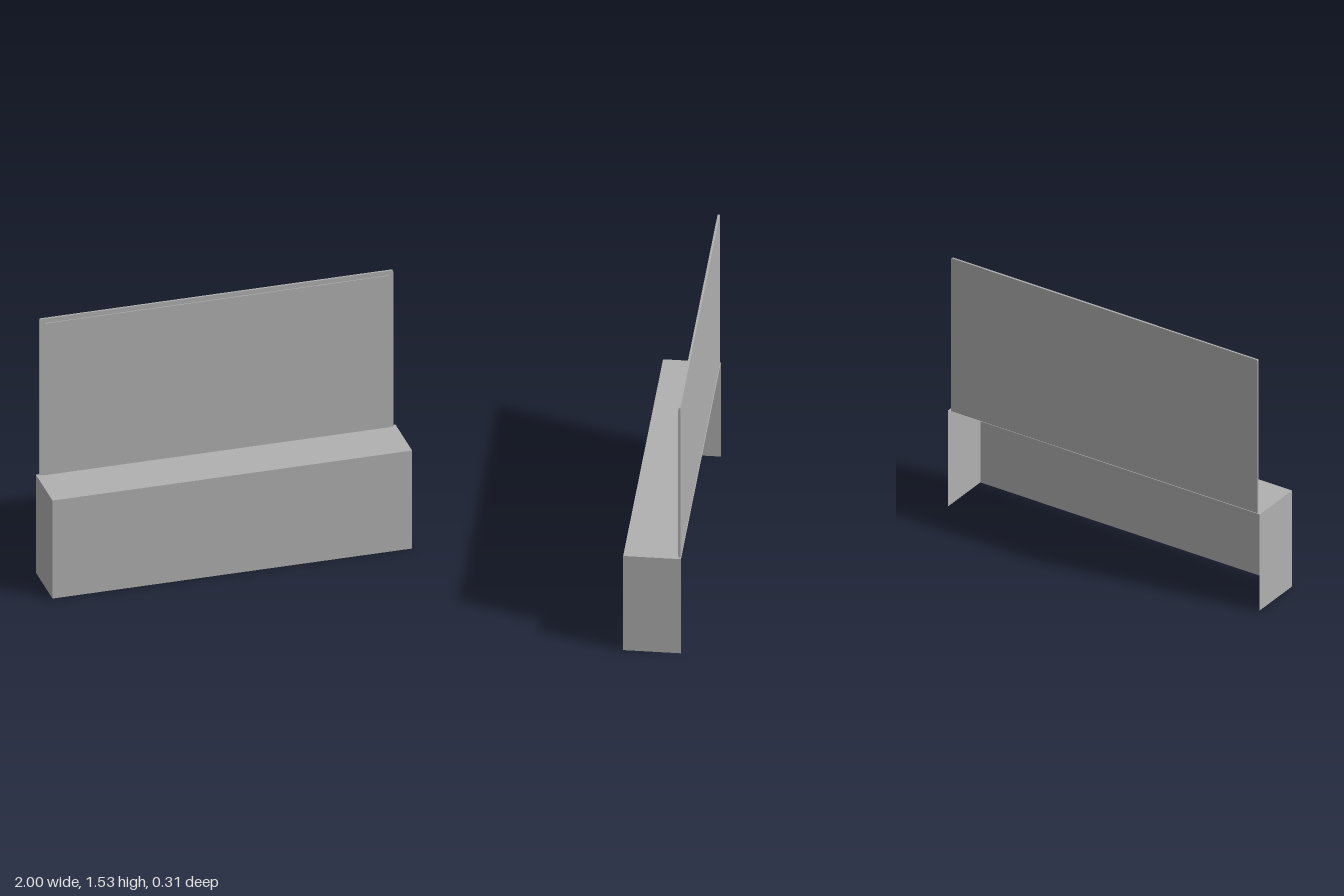
import * as THREE from 'three';

// Upright sheet with small rounded top corners, standing on y0, from zBack to zFront
function slab(halfW, y0, y1, zBack, zFront, r, material) {
  const s = new THREE.Shape();
  s.moveTo(-halfW, y0);
  s.lineTo(halfW, y0);
  s.lineTo(halfW, y1 - r);
  s.absarc(halfW - r, y1 - r, r, 0, Math.PI / 2, false);
  s.lineTo(-halfW + r, y1);
  s.absarc(-halfW + r, y1 - r, r, Math.PI / 2, Math.PI, false);
  s.closePath();
  const g = new THREE.ExtrudeGeometry(s, { depth: zFront - zBack, bevelEnabled: false, curveSegments: 4 });
  g.translate(0, 0, zBack);
  return new THREE.Mesh(g, material);
}

export function createModel() {
  const model = new THREE.Group();
  model.name = 'cabinetWithScreen';
  const grey = new THREE.MeshStandardMaterial({ color: 0xb0b0b0, side: THREE.DoubleSide });
  grey.name = 'plain grey';

  const H = 0.59, D = 0.31;

  // Cabinet of thin sheets, open at the back and underneath
  const cabinet = new THREE.Group();
  cabinet.name = 'cabinet';
  const sheet = (name, w, h) => {
    const m = new THREE.Mesh(new THREE.PlaneGeometry(w, h), grey);
    m.name = name;
    cabinet.add(m);
    return m;
  };
  sheet('frontPanel', 2, H).position.set(0, H / 2, D / 2);
  const top = sheet('topPanel', 2, D);
  top.rotation.x = -Math.PI / 2;
  top.position.y = H;
  for (const side of [1, -1]) {
    const panel = sheet(side > 0 ? 'leftPanel' : 'rightPanel', D, H);
    panel.rotation.y = side * Math.PI / 2;
    panel.position.set(side, H / 2, 0);
  }
  model.add(cabinet);

  // Tall back board with a slightly smaller facing in front of it
  const board = slab(0.983, H, 1.53, -0.151, -0.14, 0.008, grey);
  board.name = 'backBoard';
  const facing = slab(0.962, H, 1.503, -0.14, -0.135, 0.012, grey);
  facing.name = 'boardFacing';
  model.add(board, facing);

  return model;
}
